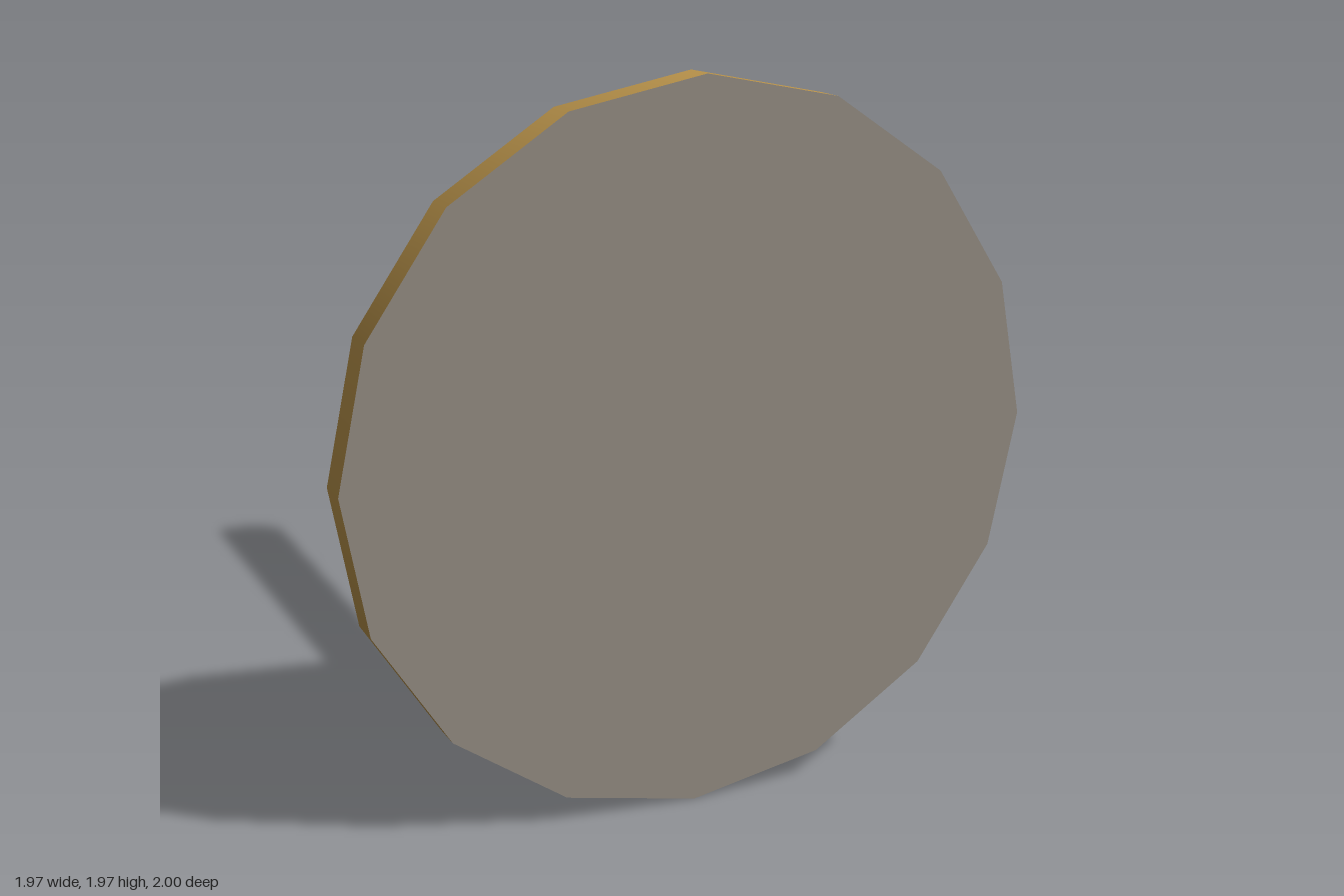
import * as THREE from 'three';

const SIDES = 16;
const RADIUS = 0.985;
const RIM_BACK = 0.907;

// Lathe profile given as [radius, z], turned around the z axis
function turned(profile) {
  const points = profile.map(([r, z]) => new THREE.Vector2(r, z));
  return new THREE.LatheGeometry(points, SIDES).rotateX(Math.PI / 2);
}

export function createModel() {
  const steel = new THREE.MeshStandardMaterial({ color: 0x958d83, side: THREE.DoubleSide });
  steel.name = 'greySteel';
  const brass = new THREE.MeshStandardMaterial({ color: 0xb8924a, side: THREE.DoubleSide });
  brass.name = 'brass';

  const model = new THREE.Group();
  model.name = 'valve';
  const add = (name, geometry, material) => {
    const mesh = new THREE.Mesh(geometry, material);
    mesh.name = name;
    mesh.position.y = RADIUS;
    model.add(mesh);
    return mesh;
  };

  // Open-ended stem flaring into the back of the head
  add('stemAndFlare', turned([
    [0.097, -1], [0.097, 0.62], [0.107, 0.665], [0.137, 0.72], [0.2, 0.777],
    [0.375, 0.83], [0.61, 0.873], [0.84, 0.903], [RADIUS, RIM_BACK],
  ]), steel);

  // Coloured edge of the head
  add('rim', turned([[RADIUS, RIM_BACK], [RADIUS, 1]]), brass);

  // Flat front of the head
  add('face', new THREE.CircleGeometry(RADIUS, SIDES), steel).position.z = 1;

  return model;
}
